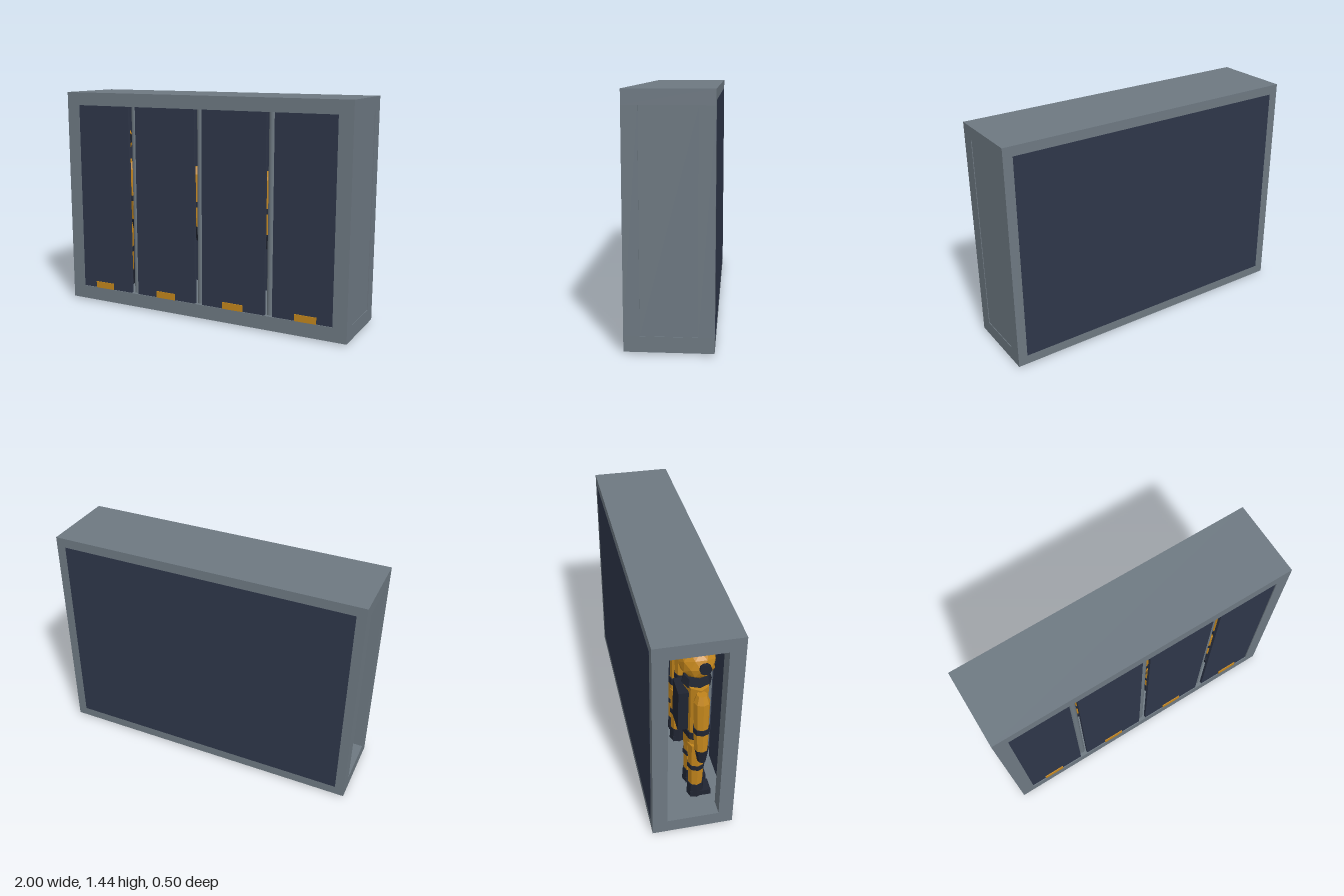
import * as THREE from 'three';

const mat = (name, color, flatShading = true) => {
  const m = new THREE.MeshStandardMaterial({ color, flatShading });
  m.name = name;
  return m;
};

export function createModel() {
  const grey = mat('steel grey', 0x6d7881);
  const postGrey = mat('post grey', 0x6d7881, false);
  const navy = mat('navy panel', 0x2e3649);
  const orange = mat('suit orange', 0xc2851c);
  const black = mat('dark rubber', 0x1f2431);

  const model = new THREE.Group();
  model.name = 'suitLocker';

  const add = (parent, name, geo, material, x, y, z) => {
    const mesh = new THREE.Mesh(geo, material);
    mesh.name = name;
    mesh.position.set(x, y, z);
    parent.add(mesh);
    return mesh;
  };
  // box given by its limits on each axis
  const box = (parent, name, material, [x0, x1], [y0, y1], [z0, z1]) =>
    add(parent, name, new THREE.BoxGeometry(x1 - x0, y1 - y0, z1 - z0), material,
      (x0 + x1) / 2, (y0 + y1) / 2, (z0 + z1) / 2);

  // Cabinet frame, open on the right end
  box(model, 'basePlate', black, [-0.94, 0.94], [0, 0.012], [-0.22, 0.22]);
  box(model, 'frameBottom', grey, [-1, 1], [0.01, 0.1], [-0.25, 0.25]);
  box(model, 'frameTop', grey, [-1, 1], [1.355, 1.44], [-0.25, 0.25]);
  for (const [x0, x1] of [[-1, -0.91], [0.91, 1]])
    for (const [z0, z1] of [[-0.25, -0.16], [0.16, 0.25]])
      box(model, 'cornerPost', grey, [x0, x1], [0.1, 1.355], [z0, z1]);
  box(model, 'endPanel', grey, [0.95, 0.996], [0.1, 1.355], [-0.16, 0.16]);
  box(model, 'backPanel', navy, [-0.94, 0.94], [0.07, 1.38], [-0.251, -0.23]);

  // Round posts between the doors
  for (const x of [-0.49, 0, 0.49])
    add(model, 'doorPost', new THREE.CylinderGeometry(0.022, 0.022, 1.255, 16), postGrey, x, 0.7275, 0.205);

  // Tapered limb section, 8-sided
  const tube = (parent, name, material, rTop, rBottom, y0, y1, x, z) =>
    add(parent, name, new THREE.CylinderGeometry(rTop, rBottom, y1 - y0, 8), material, x, (y0 + y1) / 2, z);

  const makeSuit = () => {
    const suit = new THREE.Group();
    suit.name = 'suit';
    // Helmet with visor, collar and ear discs
    add(suit, 'helmet', new THREE.IcosahedronGeometry(0.11, 1), orange, 0, 1.12, 0);
    const visor = add(suit, 'visor', new THREE.SphereGeometry(0.1, 8, 6), black, 0, 1.12, 0.035);
    visor.scale.set(0.85, 0.7, 0.85);
    tube(suit, 'collar', black, 0.075, 0.09, 0.97, 1.02, 0, 0);
    // Torso, belt and back unit
    tube(suit, 'torso', orange, 0.115, 0.1, 0.62, 0.98, 0, 0).scale.z = 0.65;
    tube(suit, 'belt', black, 0.107, 0.107, 0.58, 0.63, 0, 0).scale.z = 0.68;
    tube(suit, 'hips', orange, 0.102, 0.1, 0.5, 0.58, 0, 0).scale.z = 0.68;
    box(suit, 'backUnit', black, [-0.07, 0.07], [0.66, 0.94], [-0.12, -0.06]);
    for (const s of [-1, 1]) {
      const ear = add(suit, 'earDisc', new THREE.CylinderGeometry(0.035, 0.035, 0.02, 10), black, s * 0.108, 1.13, 0.02);
      ear.rotation.z = Math.PI / 2;
      // Arm, hanging slightly outward
      const arm = new THREE.Group();
      arm.name = 'arm';
      arm.position.set(s * 0.13, 0.95, 0);
      arm.rotation.z = s * 0.07;
      suit.add(arm);
      tube(arm, 'shoulder', orange, 0.03, 0.048, -0.03, 0.02, 0, 0);
      tube(arm, 'upperArm', orange, 0.048, 0.044, -0.21, -0.03, 0, 0);
      tube(arm, 'armBand', black, 0.05, 0.05, -0.245, -0.21, 0, 0);
      tube(arm, 'forearm', orange, 0.046, 0.04, -0.375, -0.245, 0, 0);
      tube(arm, 'glove', black, 0.043, 0.026, -0.47, -0.375, 0, 0.005);
      // Leg and boot
      const x = s * 0.06;
      tube(suit, 'thigh', orange, 0.056, 0.05, 0.37, 0.54, x, 0);
      tube(suit, 'kneeBand', black, 0.054, 0.054, 0.335, 0.37, x, 0);
      tube(suit, 'shin', orange, 0.05, 0.045, 0.2, 0.335, x, 0);
      tube(suit, 'bootShaft', black, 0.05, 0.054, 0.1, 0.2, x, 0);
      box(suit, 'bootToe', black, [x - 0.045, x + 0.045], [0.1, 0.14], [-0.04, 0.09]);
    }
    return suit;
  };

  // Four bays, each with a door, a handle and a hanging suit
  for (let i = 0; i < 4; i++) {
    const x = (i - 1.5) * 0.491;
    const edge = i === 0 || i === 3;
    const x0 = edge && i === 0 ? -0.91 : x - 0.219;
    const x1 = edge && i === 3 ? 0.91 : x + 0.219;
    box(model, 'door', navy, [x0, x1], [0.1, 1.355], [0.225, 0.244]);
    box(model, 'doorHandle', orange, [x - 0.07, x + 0.07], [0.1, 0.143], [0.24, 0.25]);
    const suit = makeSuit();
    suit.position.set(x, 0, 0.06);
    model.add(suit);
  }

  return model;
}
